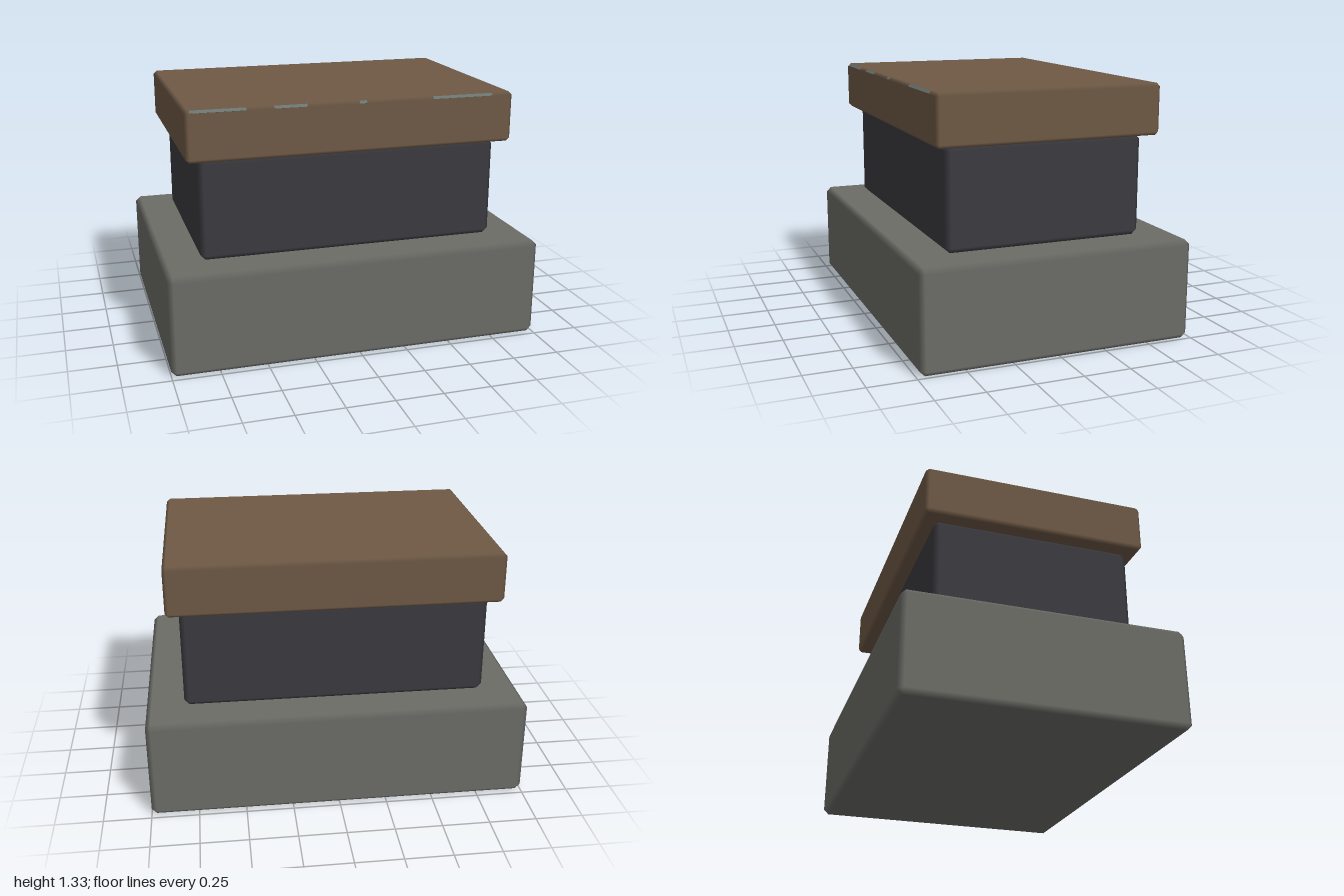
import * as THREE from 'three';
import { ConvexGeometry } from 'three/addons/geometries/ConvexGeometry.js';

const material = (name, color) => {
  const m = new THREE.MeshStandardMaterial({ color });
  m.name = name;
  return m;
};

// Box with chamfered edges; the flat faces keep their own normals and the
// chamfers blend between them.
function bevelBox(w, h, d, bevel) {
  const half = [w / 2, h / 2, d / 2];
  const points = [];
  for (const sx of [-1, 1]) for (const sy of [-1, 1]) for (const sz of [-1, 1]) {
    const signs = [sx, sy, sz];
    for (let axis = 0; axis < 3; axis++) {
      points.push(new THREE.Vector3(
        ...half.map((v, i) => signs[i] * (i === axis ? v : v - bevel))));
    }
  }
  const geometry = new ConvexGeometry(points);
  const pos = geometry.attributes.position;
  const normal = geometry.attributes.normal;
  for (let i = 0; i < pos.count; i++) {
    const p = [pos.getX(i), pos.getY(i), pos.getZ(i)];
    const n = p.map((v, k) => (Math.abs(Math.abs(v) - half[k]) < 1e-4 ? Math.sign(v) : 0));
    normal.setXYZ(i, ...n);
  }
  return geometry;
}

export function createModel() {
  const model = new THREE.Group();
  model.name = 'steppedPlinth';

  const stone = material('greyStone', 0x6b6c66);
  const slate = material('darkSlate', 0x3b3a40);
  const wood = material('brownWood', 0x6e5945);
  const worn = material('wornEdge', 0x69736f);

  // Three stacked blocks: name, width, bottom, top, depth, bevel, colour
  const blocks = [
    ['base', 2, 0, 0.533, 1.466, 0.027, stone],
    ['body', 1.6, 0.533, 1.067, 1.067, 0.027, slate],
    ['lid', 1.733, 1.067, 1.333, 1.2, 0.018, wood],
  ];
  for (const [name, w, bottom, top, d, bevel, mat] of blocks) {
    const mesh = new THREE.Mesh(bevelBox(w, top - bottom, d, bevel), mat);
    mesh.name = name;
    mesh.position.y = (bottom + top) / 2;
    model.add(mesh);
  }

  // Worn patches along the front upper chamfer of the lid
  const patches = new THREE.Group();
  patches.name = 'lidEdgeWear';
  for (const [x0, x1] of [[-0.84, -0.56], [-0.42, -0.25], [0.02, 0.06], [0.42, 0.75]]) {
    const patch = new THREE.Mesh(new THREE.BoxGeometry(x1 - x0, 0.018, 0.002), worn);
    patch.name = 'wearPatch';
    patch.position.set((x0 + x1) / 2, 1.324, 0.591);
    patch.rotation.x = -Math.PI / 4;
    patches.add(patch);
  }
  model.add(patches);

  return model;
}
